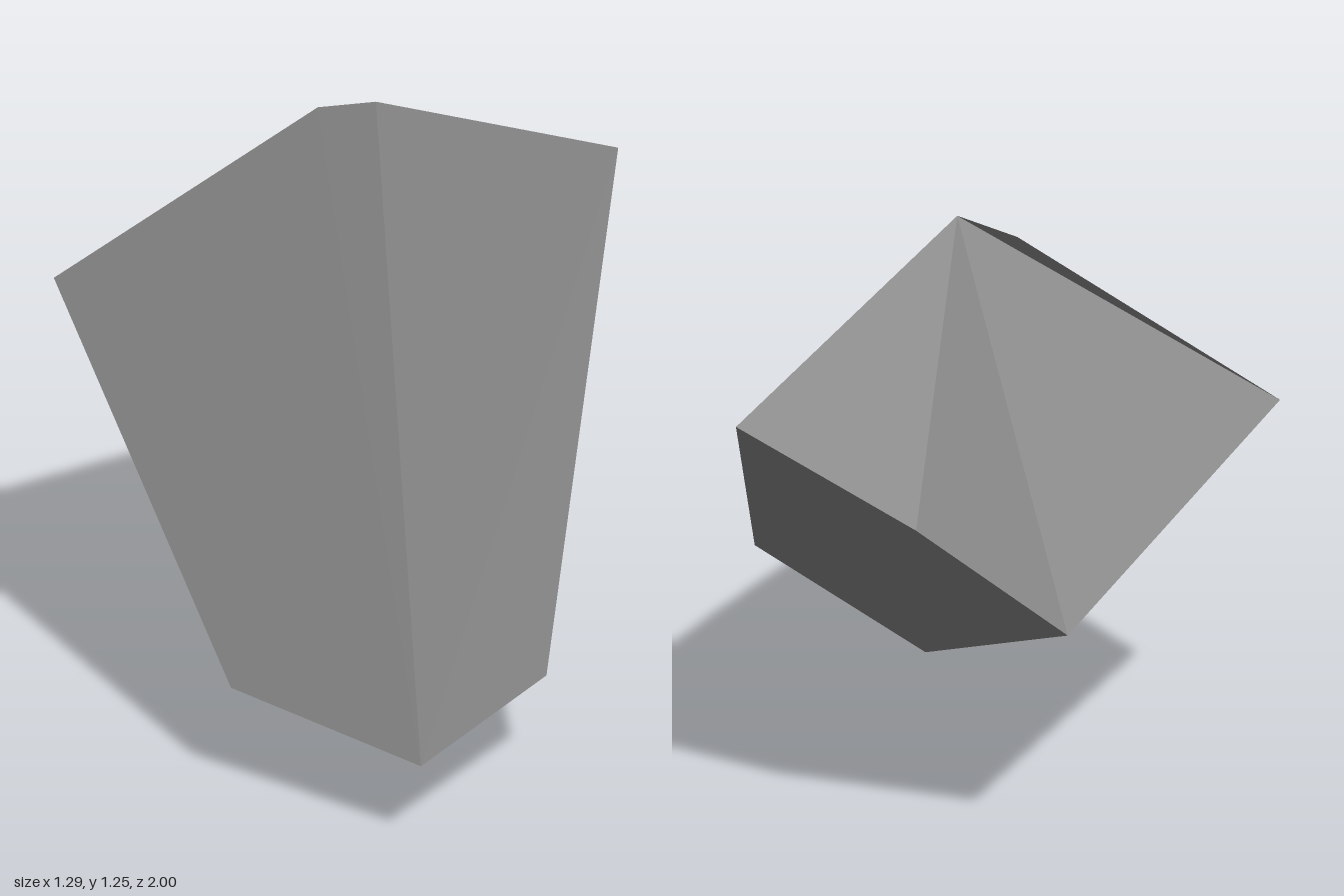
import * as THREE from 'three';

// Corners of the faceted shard
const P = {
  crest: [0.05, 1.255, -0.25],
  crestSide: [-0.07, 1.22, -0.32],
  rightTop: [-0.648, 0.815, -0.395],
  leftTop: [0.645, 0.95, -0.645],
  nose: [-0.024, 0.183, 1.0],
  leftLow: [0.315, 0.207, 0.575],
  rightLow: [-0.39, 0.223, 0.588],
  keel: [-0.024, 0.0, 0.37],
  tail: [-0.024, 0.53, -1.0],
  leftTail: [0.306, 0.783, -0.94],
};

// Each facet lists its corners counter-clockwise from outside
const FACETS = {
  frontRightFacet: ['nose', 'crest', 'crestSide', 'rightTop', 'rightLow'],
  frontLeftFacet: ['nose', 'leftLow', 'leftTop', 'crest'],
  backFacet: ['crest', 'leftTop', 'leftTail', 'tail', 'rightTop', 'crestSide'],
  leftFacet: ['leftLow', 'keel', 'tail', 'leftTail', 'leftTop'],
  rightFacet: ['rightLow', 'rightTop', 'tail', 'keel'],
  lowerLeftFacet: ['nose', 'keel', 'leftLow'],
  lowerRightFacet: ['nose', 'rightLow', 'keel'],
};

// Flat polygon as a triangle fan
function facetGeometry(names) {
  const pos = [];
  for (let i = 1; i < names.length - 1; i++) {
    pos.push(...P[names[0]], ...P[names[i]], ...P[names[i + 1]]);
  }
  const geo = new THREE.BufferGeometry();
  geo.setAttribute('position', new THREE.Float32BufferAttribute(pos, 3));
  geo.computeVertexNormals();
  return geo;
}

export function createModel() {
  const stone = new THREE.MeshStandardMaterial({ color: 0x808080 });
  stone.name = 'stone grey';

  const shard = new THREE.Group();
  shard.name = 'stoneShard';
  for (const [name, corners] of Object.entries(FACETS)) {
    const mesh = new THREE.Mesh(facetGeometry(corners), stone);
    mesh.name = name;
    shard.add(mesh);
  }
  return shard;
}
